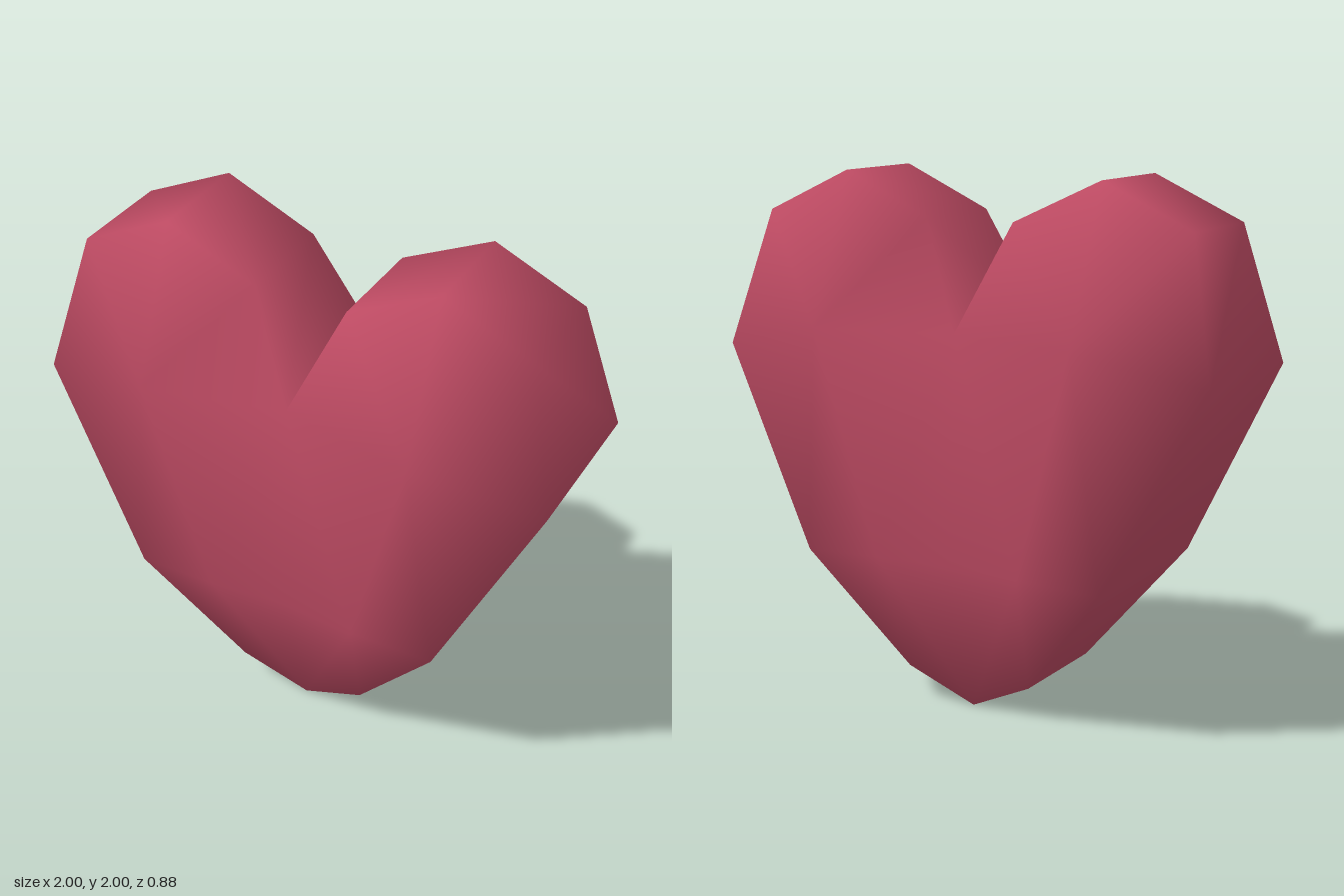
import * as THREE from 'three';
import { mergeVertices } from 'three/addons/utils/BufferGeometryUtils.js';

// One half of the heart's face: the outline from notch to tip, then the inner points.
const POINTS = [
  [0, 1.44, 0.32], [0.18, 1.84, 0.21], [0.53, 2, 0.21], [0.88, 1.84, 0.21],
  [1, 1.33, 0.325], [0.62, 0.57, 0.37], [0.26, 0.125, 0.23], [0, 0, 0.19],
  [0.53, 1.44, 0.44], [0.3, 0.59, 0.39], [0, 0.59, 0.365],
];
const OUTLINE = 8;
const FACES = [
  [0, 8, 1], [1, 8, 2], [8, 3, 2], [8, 4, 3], [8, 5, 4], [8, 9, 5],
  [0, 9, 8], [0, 10, 9], [10, 7, 9], [9, 7, 6], [9, 6, 5],
];

function heartGeometry() {
  const positions = [];
  const at = (i, sx, sz) => [POINTS[i][0] * sx, POINTS[i][1], POINTS[i][2] * sz];
  const tri = (a, b, c, flip) => positions.push(...a, ...(flip ? c : b), ...(flip ? b : c));

  for (const sx of [1, -1]) {
    // Front and back faces, mirrored
    for (const sz of [1, -1]) {
      for (const [a, b, c] of FACES) {
        tri(at(a, sx, sz), at(b, sx, sz), at(c, sx, sz), sx * sz < 0);
      }
    }
    // Rim joining front to back
    for (let i = 0; i < OUTLINE - 1; i++) {
      const a = at(i, sx, 1), b = at(i + 1, sx, 1);
      const c = at(i + 1, sx, -1), d = at(i, sx, -1);
      tri(a, b, c, sx < 0);
      tri(a, c, d, sx < 0);
    }
  }

  // Shared corners give smooth normals over the whole body
  const soup = new THREE.BufferGeometry();
  soup.setAttribute('position', new THREE.Float32BufferAttribute(positions, 3));
  const geometry = mergeVertices(soup, 1e-4);
  geometry.computeVertexNormals();
  return geometry;
}

export function createModel() {
  const group = new THREE.Group();
  group.name = 'heart';
  const material = new THREE.MeshStandardMaterial({ color: 0xbc4a62 });
  material.name = 'rose red';
  const body = new THREE.Mesh(heartGeometry(), material);
  body.name = 'heartBody';
  group.add(body);
  return group;
}
